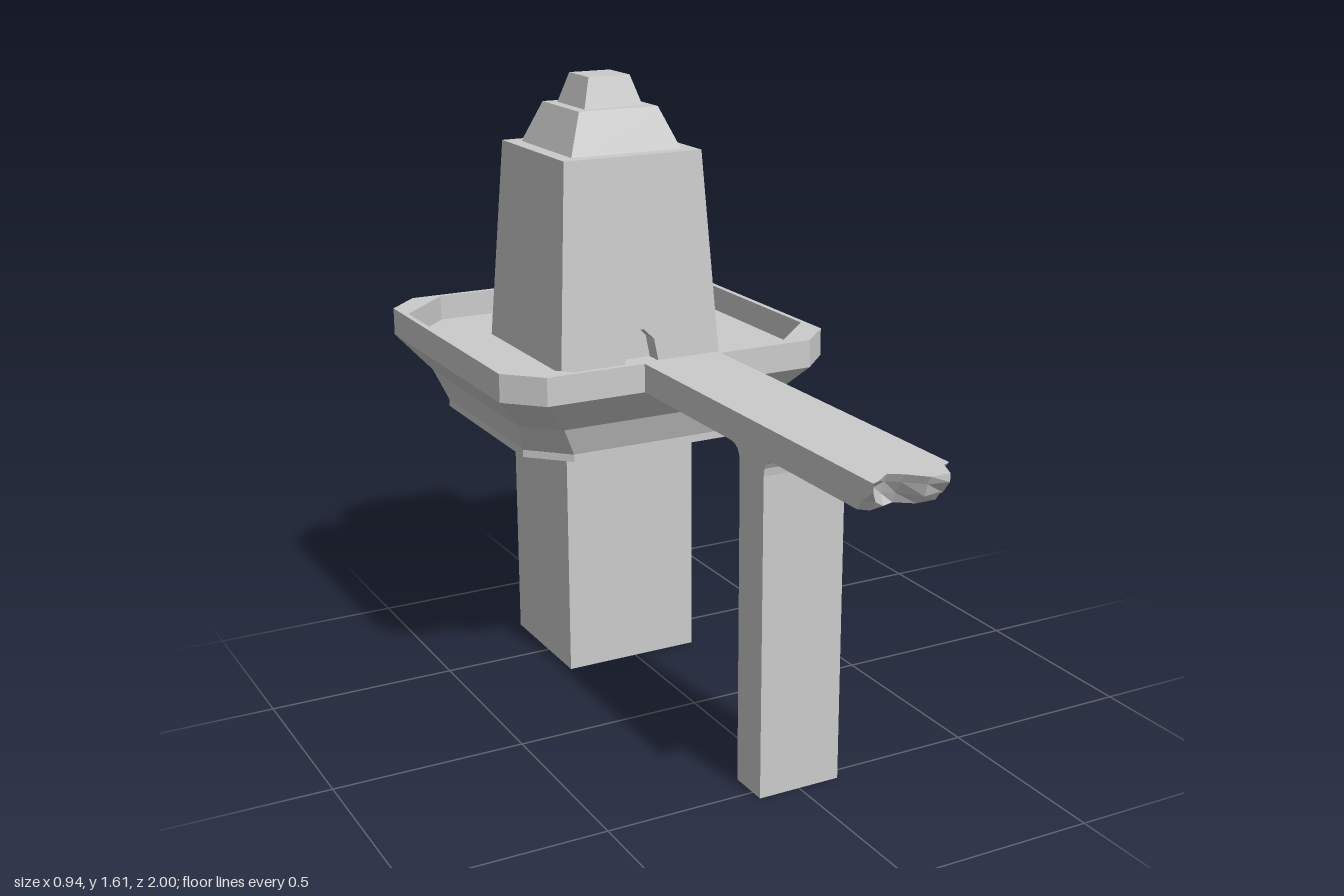
import * as THREE from 'three';

const material = new THREE.MeshStandardMaterial({ color: 0xcccccc, flatShading: true, side: THREE.DoubleSide });

function addMesh(parent, name, geometry) {
  const mesh = new THREE.Mesh(geometry, material);
  mesh.name = name;
  parent.add(mesh);
  return mesh;
}

// Skins a stack of equal-length rings with flat quads; caps close the first and last ring
function loft(rings, { start = true, end = true, skip = () => false } = {}) {
  const pos = [];
  const n = rings[0].length;
  const tri = (a, b, c) => pos.push(...a, ...b, ...c);
  for (let r = 0; r < rings.length - 1; r++) {
    for (let i = 0; i < n; i++) {
      if (skip(r, i)) continue;
      const j = (i + 1) % n;
      const lo = rings[r], hi = rings[r + 1];
      tri(lo[i], lo[j], hi[j]);
      tri(lo[i], hi[j], hi[i]);
    }
  }
  const first = rings[0], last = rings[rings.length - 1];
  for (let i = 1; i < n - 1; i++) {
    if (start) tri(first[0], first[i + 1], first[i]);
    if (end) tri(last[0], last[i], last[i + 1]);
  }
  const geometry = new THREE.BufferGeometry();
  geometry.setAttribute('position', new THREE.Float32BufferAttribute(pos, 3));
  geometry.computeVertexNormals();
  return geometry;
}

const squareRing = (a, y) => [[a, y, a], [a, y, -a], [-a, y, -a], [-a, y, a]];

// Square of half-width a whose corners are cut back to b
const octagonRing = (a, b, y) => [
  [a, y, b], [a, y, -b], [b, y, -a], [-b, y, -a],
  [-a, y, -b], [-a, y, b], [-b, y, a], [b, y, a],
];

// Hollow rectangular post, open at both ends
function openPost(x0, x1, z0, z1, top) {
  const ring = (y) => [[x1, y, z1], [x1, y, z0], [x0, y, z0], [x0, y, z1]];
  return loft([ring(0), ring(top)], { start: false, end: false });
}

export function createModel() {
  const model = new THREE.Group();
  model.name = 'towerWithWalkway';

  // Main pillar
  addMesh(model, 'mainPillar', openPost(-0.2, 0.18, -0.7, -0.35, 0.67));

  // Chamfered platform with flared underside, thin parapet and sunken floor
  const floorY = 0.87;
  const platform = addMesh(model, 'platform', loft([
    octagonRing(0.36, 0.26, 0.67),
    octagonRing(0.36, 0.26, 0.69),
    octagonRing(0.39, 0.3, 0.77),
    octagonRing(0.47, 0.38, 0.865),
    octagonRing(0.47, 0.38, 0.94),
    octagonRing(0.455, 0.3, 0.94),
    octagonRing(0.455, 0.3, floorY),
  ]));
  platform.position.z = -0.53;

  // Stepped tower, the front of its lowest stage left open for the niche wall
  const tower = new THREE.Group();
  tower.name = 'tower';
  tower.position.z = -0.53;
  model.add(tower);
  addMesh(tower, 'towerStages', loft([
    squareRing(0.235, floorY),
    squareRing(0.2, 1.42),
    squareRing(0.16, 1.42),
    squareRing(0.115, 1.53),
    squareRing(0.085, 1.53),
    squareRing(0.06, 1.61),
  ], { start: false, skip: (r, i) => r === 0 && i === 3 }));

  // Sloping front wall with a small doorway niche
  const wallZ = (y) => 0.235 - (0.035 * (y - floorY)) / (1.42 - floorY);
  const arch = [[-0.05, floorY], [-0.04, 0.93], [-0.01, 0.96], [0.01, 0.96], [0.04, 0.93], [0.05, floorY]];
  const wallShape = new THREE.Shape(
    [[-0.235, floorY], ...arch, [0.235, floorY], [0.2, 1.42], [-0.2, 1.42]].map((p) => new THREE.Vector2(...p)));
  const wall = new THREE.ShapeGeometry(wallShape);
  const wp = wall.attributes.position;
  for (let i = 0; i < wp.count; i++) wp.setZ(i, wallZ(wp.getY(i)));
  wall.computeVertexNormals();
  addMesh(tower, 'towerFrontWall', wall);
  const nicheRing = (depth) => arch.map(([x, y]) => [x, y, wallZ(y) - depth]);
  addMesh(tower, 'doorNiche', loft([nicheRing(0), nicheRing(0.05)], { start: false, skip: (r, i) => i === 5 }));

  // Walkway deck, with rounded brackets above its support
  const deck = new THREE.Shape();
  deck.moveTo(-0.06, 0.94);
  deck.lineTo(-0.06, 0.865);
  deck.lineTo(0.38, 0.865);
  deck.quadraticCurveTo(0.425, 0.865, 0.425, 0.82);
  deck.lineTo(0.535, 0.82);
  deck.quadraticCurveTo(0.535, 0.865, 0.58, 0.865);
  deck.lineTo(0.9, 0.865);
  deck.lineTo(0.9, 0.94);
  const deckGeometry = new THREE.ExtrudeGeometry(deck, { depth: 0.22, bevelEnabled: false, curveSegments: 4 });
  deckGeometry.rotateY(-Math.PI / 2).translate(0.11, 0, 0);
  addMesh(model, 'walkwayDeck', deckGeometry);

  // Walkway support
  addMesh(model, 'walkwaySupport', openPost(-0.11, 0.11, 0.425, 0.535, 0.82));

  // Broken end of the walkway: each row is x, then z at four heights from top to bottom
  const heights = [0.94, 0.92, 0.89, 0.865];
  const breakRows = [
    [-0.11, 0.98, 0.98, 0.94, 0.92],
    [-0.09, 0.97, 0.95, 0.96, 0.94],
    [-0.05, 0.94, 0.93, 0.92, 0.93],
    [-0.02, 0.96, 0.95, 0.93, 0.92],
    [0.02, 1.0, 0.99, 0.98, 0.95],
    [0.07, 1.0, 1.0, 0.97, 0.95],
    [0.09, 0.95, 0.95, 0.93, 0.92],
    [0.11, 0.94, 0.92, 0.94, 0.92],
  ];
  addMesh(model, 'brokenWalkwayEnd', loft(breakRows.map(([x, ...zs]) => [
    [x, 0.94, 0.9], ...zs.map((z, i) => [x, heights[i], z]), [x, 0.865, 0.9],
  ])));

  return model;
}
